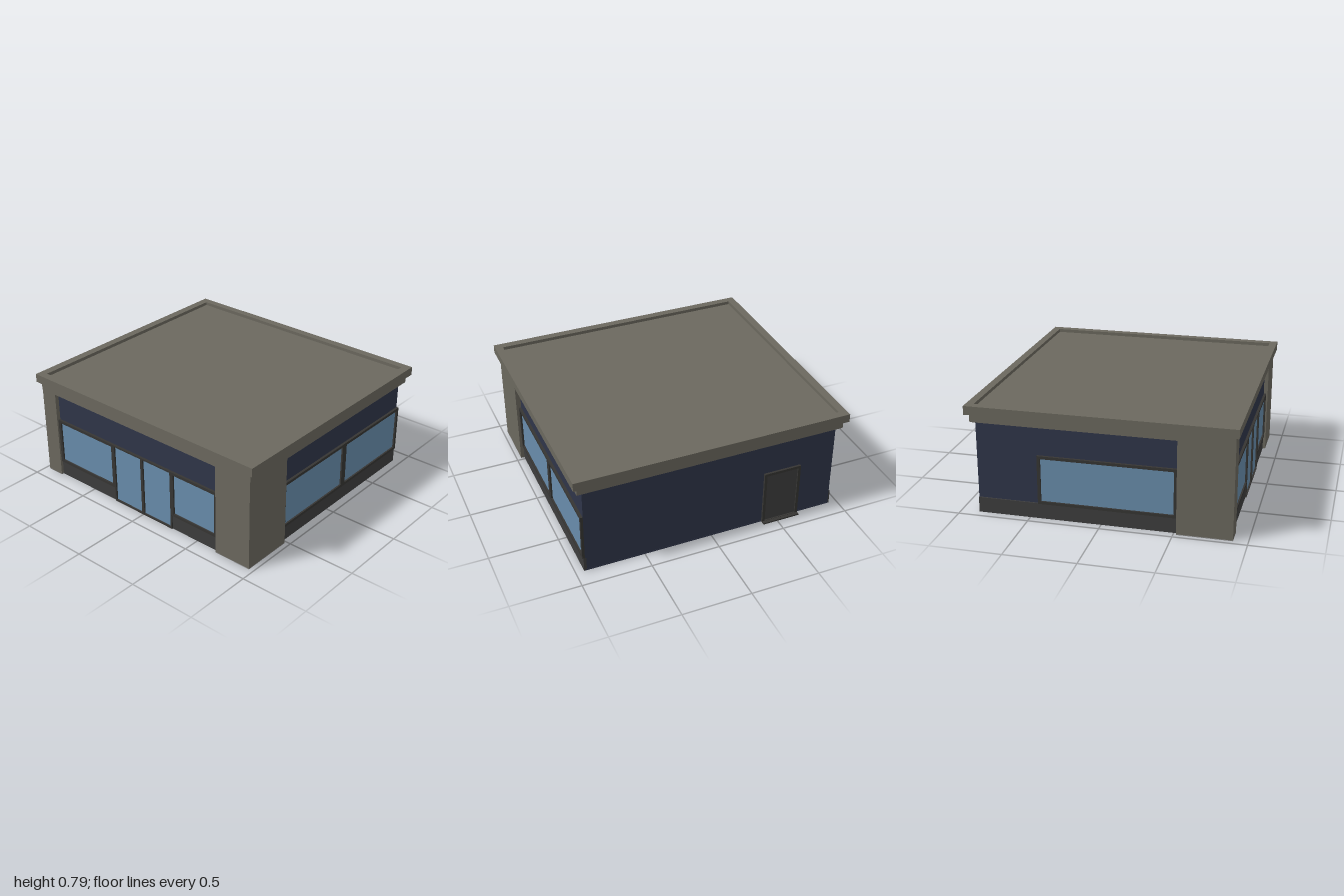
import * as THREE from 'three';

const mat = (name, color) => Object.assign(new THREE.MeshStandardMaterial({ color }), { name });

export function createModel() {
  const stone = mat('stone', 0x6b685e);
  const navy = mat('navy wall', 0x2f3549);
  const glass = mat('glass', 0x688cab);
  const plinthGrey = mat('plinth grey', 0x3d3d3d);
  const frameGrey = mat('frame grey', 0x363533);
  const concrete = mat('concrete', 0x8e8e8e);

  const model = new THREE.Group();
  model.name = 'shopBuilding';

  // box given by its min and max along each axis
  function box(name, material, [x0, x1], [y0, y1], [z0, z1], parent = model) {
    const mesh = new THREE.Mesh(new THREE.BoxGeometry(x1 - x0, y1 - y0, z1 - z0), material);
    mesh.position.set((x0 + x1) / 2, (y0 + y1) / 2, (z0 + z1) / 2);
    mesh.name = name;
    parent.add(mesh);
    return mesh;
  }

  // rectangular plate with rectangular holes, extruded along +z
  function holedPlate(u0, u1, v0, v1, holes, depth) {
    const rect = (path, a, b, c, d) =>
      path.moveTo(a, c).lineTo(b, c).lineTo(b, d).lineTo(a, d).closePath();
    const shape = rect(new THREE.Shape(), u0, u1, v0, v1);
    for (const h of holes) shape.holes.push(rect(new THREE.Path(), ...h));
    return new THREE.ExtrudeGeometry(shape, { depth, bevelEnabled: false });
  }

  // framed window on a local wall plane z = 0: frame, panes and plinth below
  function glazing(name, u0, u1, panes, sill = 0.11) {
    const group = new THREE.Group();
    group.name = name;
    const frame = new THREE.Mesh(holedPlate(u0, u1, sill, 0.46, panes, 0.018), frameGrey);
    frame.name = 'windowFrame';
    group.add(frame);
    for (const [a, b, c, d] of panes) box('windowPane', glass, [a, b], [c, d], [0, 0.006], group);
    model.add(group);
    return group;
  }

  const W = 0.93, D = 0.87;

  // floor and walls
  box('rearFloor', glass, [-W, W], [0, 0.01], [-D, 0.52]);
  box('frontFloor', concrete, [-W, W], [0, 0.01], [0.52, D]);
  box('walls', navy, [-W, W], [0.01, 0.67], [-D, D]);
  box('backWallFoot', navy, [-W, W], [0, 0.01], [-D - 0.001, -D + 0.01]);

  // corner pillars
  for (const [name, x] of [['rightPillar', [-0.966, -0.835]], ['leftPillar', [0.68, 0.966]]]) {
    box(name, stone, x, [0.005, 0.68], [0.52, 0.9]);
    box(name + 'Foot', concrete, x, [0, 0.005], [0.52, 0.9]);
  }

  // front windows
  const front = [
    glazing('frontWindowRight', -0.835, -0.27, [[-0.812, -0.293, 0.13, 0.44]]),
    glazing('frontWindowLeft', 0.27, 0.68, [[0.294, 0.659, 0.13, 0.44]]),
  ];
  for (const g of front) g.position.z = D;
  for (const x of [[-0.835, -0.27], [0.27, 0.68]]) {
    box('frontPlinth', plinthGrey, x, [0, 0.11], [D - 0.01, D + 0.01]);
  }

  // glazed double door
  const doors = glazing('entranceDoors', -0.275, 0.275,
    [[-0.263, -0.011, 0.012, 0.449], [0.011, 0.263, 0.012, 0.449]], 0);
  doors.position.z = D;

  // side windows, with u running along the wall
  const leftSide = glazing('leftSideWindows', -0.52, 0.87,
    [[-0.495, 0.155, 0.13, 0.44], [0.2, 0.848, 0.13, 0.44]]);
  leftSide.rotation.y = Math.PI / 2;
  leftSide.position.x = W;
  const rightSide = glazing('rightSideWindow', -0.44, 0.52, [[-0.418, 0.498, 0.13, 0.44]]);
  rightSide.rotation.y = -Math.PI / 2;
  rightSide.position.x = -W;
  for (const s of [-1, 1]) {
    const x = [s * (W - 0.01), s * (W + 0.01)].sort((a, b) => a - b);
    box('sidePlinth', plinthGrey, x, [0, 0.11], [-D, 0.52]);
  }

  // back door with frame and step
  const back = new THREE.Group();
  back.name = 'backDoor';
  model.add(back);
  const casing = new THREE.Mesh(
    holedPlate(-0.67, -0.39, 0, 0.425, [[-0.65, -0.41, 0.012, 0.405]], 0.016), frameGrey);
  casing.name = 'doorCasing';
  casing.position.z = -D - 0.016;
  back.add(casing);
  box('doorPanel', plinthGrey, [-0.65, -0.41], [0.012, 0.405], [-D - 0.006, -D], back);
  box('doorStep', frameGrey, [-0.67, -0.39], [0, 0.01], [-0.91, -D], back);

  // roof: lower band, raised rim and sunken deck
  box('roofBand', stone, [-0.97, 0.97], [0.67, 0.73], [-0.895, 0.9]);
  const rim = new THREE.Mesh(
    holedPlate(-1, 1, -0.923, 0.923, [[-0.942, 0.942, -0.868, 0.868]], 0.062), stone);
  rim.rotation.x = -Math.PI / 2;
  rim.position.y = 0.73;
  rim.name = 'roofRim';
  model.add(rim);
  box('roofDeck', stone, [-0.942, 0.942], [0.725, 0.768], [-0.868, 0.868]);

  return model;
}
